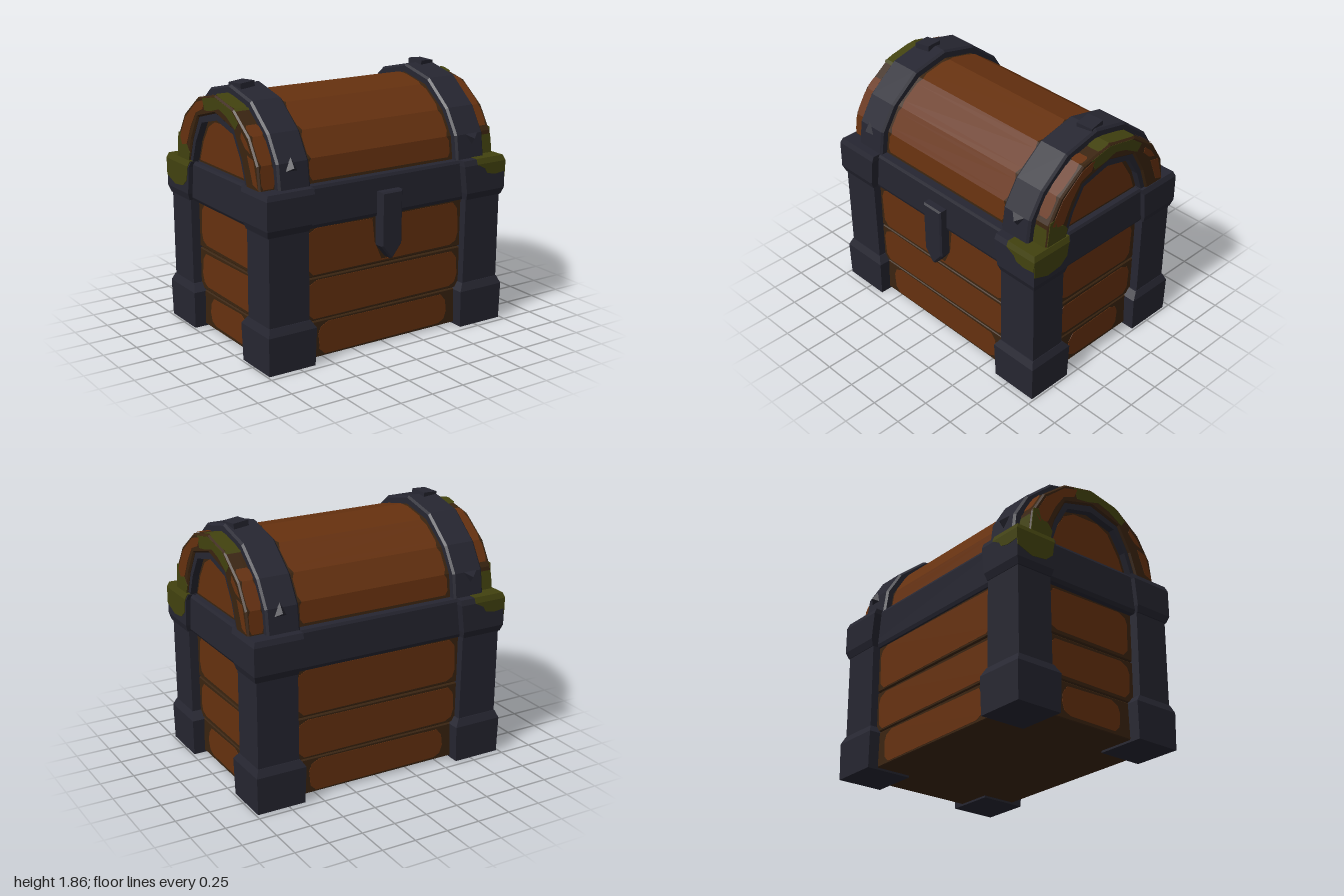
import * as THREE from 'three';

const mat = (name, color) => Object.assign(new THREE.MeshStandardMaterial({ color }), { name });

// Half arch profiles as [z, y], front foot to crown
const mirrorArch = (half) => [...half, ...half.slice(0, -1).reverse().map(([z, y]) => [-z, y])];
const LID = mirrorArch([[0.58, 1.22], [0.555, 1.4], [0.45, 1.57], [0.25, 1.72], [0, 1.775]]);
const STRAP = mirrorArch([[0.635, 1.22], [0.61, 1.41], [0.5, 1.59], [0.28, 1.77], [0, 1.835]]);
const FRAME = mirrorArch([[0.41, 1.22], [0.35, 1.4], [0.25, 1.58], [0, 1.65]]);
const PANEL = mirrorArch([[0.375, 1.22], [0.315, 1.39], [0.22, 1.545], [0, 1.6]]);

// Outline extruded towards +z, with an optional one-step chamfer
function frontPlate(pts, z, depth, bevel = 0) {
  const shape = new THREE.Shape(pts.map(([x, y]) => new THREE.Vector2(x, y)));
  const g = new THREE.ExtrudeGeometry(shape, {
    depth: depth - 2 * bevel, bevelEnabled: bevel > 0, bevelSize: bevel,
    bevelThickness: bevel, bevelOffset: -bevel, bevelSegments: 1,
  });
  return g.translate(0, 0, z + bevel);
}

// Outline in (z, y) extruded towards +x
const sidePlate = (pts, x, depth, bevel) =>
  frontPlate(pts.map(([z, y]) => [-z, y]), 0, depth, bevel).rotateY(Math.PI / 2).translate(x, 0, 0);

function fromTriangles(v) {
  const g = new THREE.BufferGeometry();
  g.setAttribute('position', new THREE.Float32BufferAttribute(v.flat(), 3));
  g.computeVertexNormals();
  return g;
}

// Block lofted through rectangles [y, x0, x1, z0, z1]
function stack(levels) {
  const rings = levels.map(([y, x0, x1, z0, z1]) => [[x0, y, z1], [x1, y, z1], [x1, y, z0], [x0, y, z0]]);
  const v = [];
  for (let k = 0; k + 1 < rings.length; k++) {
    const a = rings[k], b = rings[k + 1];
    for (let i = 0; i < 4; i++) {
      const j = (i + 1) % 4;
      v.push(a[i], a[j], b[j], a[i], b[j], b[i]);
    }
  }
  const t = rings[rings.length - 1], o = rings[0];
  v.push(t[0], t[1], t[2], t[0], t[2], t[3], o[2], o[1], o[0], o[3], o[2], o[0]);
  return fromTriangles(v);
}

// Part of a profile between two fractional point indices
function section(profile, t0, t1) {
  const at = (t) => {
    const i = Math.min(Math.floor(t), profile.length - 2), f = t - i;
    return profile[i].map((c, k) => c + (profile[i + 1][k] - c) * f);
  };
  const out = [at(t0)];
  for (let i = Math.floor(t0) + 1; i < t1; i++) out.push(at(i));
  return [...out, at(t1)];
}

// Painted strip lying just over the lid curve, pinched at each facet edge
function skin(t0, t1, x0, x1, pinch) {
  const pts = section(LID, t0, t1).map(([z, y]) => [z * 1.012, 1.22 + (y - 1.22) * 1.012]);
  const v = [];
  for (let i = 0; i + 1 < pts.length; i++) {
    const rows = [0, 0.2, 0.8, 1].map((f, k) => {
      const p = k === 0 || k === 3 ? pinch : 0;
      const z = pts[i][0] + (pts[i + 1][0] - pts[i][0]) * f;
      const y = pts[i][1] + (pts[i + 1][1] - pts[i][1]) * f;
      return [[x0 + p, y, z], [x1 - p, y, z]];
    });
    for (let k = 0; k < 3; k++) {
      const [a, b] = rows[k], [d, c] = rows[k + 1];
      v.push(a, b, c, a, c, d);
    }
  }
  return fromTriangles(v);
}

const rect = (w, y0, y1) => [[-w, y0], [w, y0], [w, y1], [-w, y1]];
// Worn rectangle with cut, slightly uneven corners
const worn = (w, y0, y1) => [
  [-w + 0.05, y0], [w - 0.07, y0 + 0.005], [w - 0.02, y0 + 0.03], [w, y0 + 0.09], [w - 0.01, y1 - 0.06],
  [w - 0.05, y1 - 0.01], [-w + 0.08, y1], [-w + 0.02, y1 - 0.03], [-w, y1 - 0.08], [-w + 0.01, y0 + 0.04],
];

export function createModel() {
  const wood = mat('wood', 0x66310f);
  const darkWood = mat('dark wood', 0x3a2410);
  const metal = mat('dark metal', 0x262631);
  const moss = mat('moss', 0x42420f);

  const chest = new THREE.Group();
  chest.name = 'chest';
  const add = (parent, name, geometry, material) => {
    const m = new THREE.Mesh(geometry, material);
    m.name = name;
    parent.add(m);
    return m;
  };

  // Hollow-looking core, rim and barrel lid
  add(chest, 'bodyCore', stack([[0.015, -0.88, 0.88, -0.6, 0.6], [1.1, -0.88, 0.88, -0.6, 0.6]]), darkWood);
  add(chest, 'rim', stack([[0.945, -0.94, 0.94, -0.635, 0.635], [0.97, -0.955, 0.955, -0.645, 0.645],
    [1.215, -0.955, 0.955, -0.645, 0.645], [1.235, -0.945, 0.945, -0.635, 0.635]]), metal);
  add(chest, 'lidBarrel', sidePlate(LID, -0.88, 1.76), darkWood);
  add(chest, 'lidBoards', skin(0.2, 7.8, -0.585, 0.585, 0.02), wood);

  const planks = [[0.015, 0.277], [0.283, 0.588], [0.597, 0.955]];

  // One half: a long face and an end; the other half is the same turned around
  function buildHalf(name, hasLatch) {
    const half = new THREE.Group();
    half.name = name;
    chest.add(half);

    // Planks with worn lighter middles
    planks.forEach(([y0, y1], i) => {
      add(half, 'longPlank', frontPlate(rect(0.68, y0, y1), 0.585, 0.035, 0.006), darkWood);
      add(half, 'endPlank', sidePlate(rect(0.43, y0, y1), 0.865, 0.035, 0.006), darkWood);
      const w = i === 0 ? 0.55 : 0.64;
      let patch = worn(w, y0 + 0.015, y1 - 0.015);
      if (hasLatch && i === 2) {
        patch.splice(6, 0, [0.11, 0.93], [0.09, 0.76], [0.03, 0.625], [-0.03, 0.625], [-0.09, 0.76], [-0.11, 0.93]);
        patch = patch.filter(([x, y]) => Math.abs(x) > 0.02 || y > 0);
      }
      add(half, 'longPlankFace', frontPlate(patch, 0.617, 0.006), wood);
      add(half, 'endPlankFace', sidePlate(worn(i === 0 ? 0.26 : 0.365, y0 + 0.025, y1 - 0.02), 0.897, 0.006), wood);
    });

    // Corner posts: foot, leg and rim block
    for (const s of [1, -1]) {
      const corner = (levels) => stack(levels.map(([y, x0, x1, z0, z1]) =>
        s > 0 ? [y, x0, x1, z0, z1] : [y, x0, x1, -z1, -z0]));
      add(half, 'foot', corner([[0, 0.625, 0.985, 0.35, 0.7], [0.27, 0.615, 0.99, 0.34, 0.705],
        [0.325, 0.65, 0.968, 0.385, 0.68]]), metal);
      add(half, 'leg', corner([[0.3, 0.655, 0.965, 0.395, 0.675], [0.96, 0.66, 0.965, 0.4, 0.68]]), metal);
      add(half, 'rimBlock', corner([[0.95, 0.66, 0.975, 0.4, 0.685], [1.0, 0.65, 0.99, 0.39, 0.705],
        [1.2, 0.625, 0.99, 0.37, 0.705], [1.238, 0.625, 0.975, 0.36, 0.69]]), metal);
    }

    // Lid strap with rivets
    add(half, 'strap', sidePlate(STRAP, 0.61, 0.245, 0.015), metal);
    for (const s of [1, -1]) {
      const rivet = add(half, 'strapRivet', new THREE.ConeGeometry(0.065, 0.045, 3).toNonIndexed(), metal);
      rivet.geometry.computeVertexNormals();
      rivet.geometry.rotateX(s * Math.PI / 2);
      rivet.position.set(0.75, 1.38, s * 0.63);
    }
    const crown = add(half, 'crownRivet', new THREE.BoxGeometry(0.12, 0.04, 0.13), metal);
    crown.position.set(0.77, 1.833, -0.02);
    crown.rotation.set(0.05, 0.15, -0.08);

    // Lid end: outer arch, metal inner frame and recessed panel
    add(half, 'endArch', sidePlate([...LID, ...FRAME.slice().reverse()], 0.84, 0.13, 0.012), darkWood);
    add(half, 'endFrame', sidePlate([...FRAME, ...PANEL.slice().reverse()], 0.86, 0.095), metal);
    add(half, 'endPanel', sidePlate(PANEL, 0.87, 0.035), darkWood);
    add(half, 'endPanelFace', sidePlate([[0.345, 1.25], [0.29, 1.39], [0.21, 1.51], [0.12, 1.56], [-0.1, 1.565],
      [-0.2, 1.52], [-0.3, 1.36], [-0.34, 1.25]], 0.902, 0.006), wood);

    // Worn wood and moss on the end arch
    const face = (n, pts, m) => add(half, n, sidePlate(pts, 0.967, 0.006), m);
    face('archWornFront', [[0.525, 1.39], [0.43, 1.55], [0.26, 1.685], [0.14, 1.72], [0.17, 1.65], [0.27, 1.61],
      [0.35, 1.5], [0.42, 1.36], [0.49, 1.34]], wood);
    face('archWornBack', [[-0.36, 1.59], [-0.43, 1.53], [-0.47, 1.47], [-0.41, 1.49], [-0.35, 1.55]], wood);
    face('archWornLow', [[-0.43, 1.45], [-0.51, 1.43], [-0.56, 1.25], [-0.5, 1.27]], wood);
    face('archMossTop', [[0.17, 1.725], [0, 1.76], [-0.22, 1.715], [-0.32, 1.64], [-0.28, 1.59], [-0.16, 1.66],
      [-0.06, 1.69], [0.04, 1.66], [0.14, 1.645]], moss);
    face('archMossLow', [[0.57, 1.23], [0.545, 1.42], [0.5, 1.43], [0.48, 1.36], [0.42, 1.35], [0.38, 1.3],
      [0.4, 1.23]], moss);
    add(half, 'archMossFoot', skin(0.05, 0.85, 0.856, 0.965, 0.008), moss);
    add(half, 'archBoardFront', skin(1.2, 3.3, 0.856, 0.945, 0.012), wood);
    add(half, 'archMossCrown', skin(3.6, 5.1, 0.856, 0.965, 0.008), moss);
    add(half, 'archBoardBack', skin(5.6, 7.85, 0.856, 0.955, 0.012), wood);

    // Moss spilling over one rim corner
    add(half, 'mossCap', stack([[1.17, 0.8, 0.994, 0.39, 0.709], [1.203, 0.74, 0.994, 0.38, 0.709],
      [1.242, 0.74, 0.979, 0.37, 0.694]]), moss);
    add(half, 'mossSide', sidePlate([[0.705, 1.2], [0.705, 1.08], [0.65, 1.06], [0.58, 1.035], [0.46, 1.05],
      [0.4, 1.1], [0.385, 1.2]], 0.988, 0.006), moss);
    add(half, 'mossFront', frontPlate([[0.74, 1.2], [0.8, 1.18], [0.83, 1.13], [0.9, 1.115], [0.99, 1.125],
      [0.99, 1.2]], 0.703, 0.006), moss);
    return half;
  }

  buildHalf('frontAndLeftHalf', true);
  buildHalf('backAndRightHalf', false).rotation.y = Math.PI;

  // Latch hanging over the front rim
  add(chest, 'latch', frontPlate([[-0.088, 1.125], [-0.085, 0.74], [-0.01, 0.645], [0.01, 0.645], [0.085, 0.74],
    [0.088, 1.125]], 0.615, 0.09, 0.012), metal);

  return chest;
}
